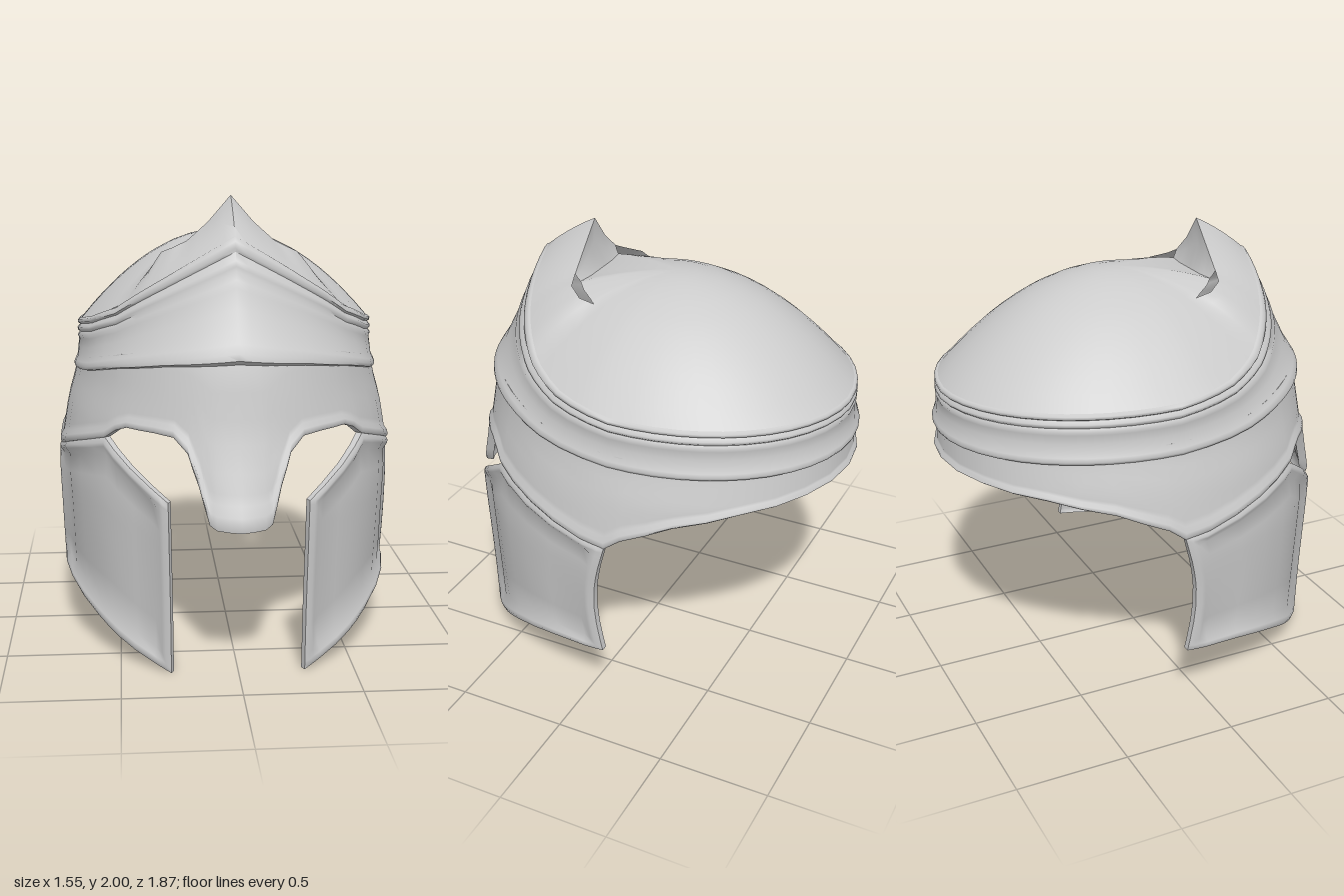
import * as THREE from 'three';
import { toCreasedNormals } from 'three/addons/utils/BufferGeometryUtils.js';

const mat = new THREE.MeshStandardMaterial({ color: 0xcccccc, side: THREE.DoubleSide });
const lerp = THREE.MathUtils.lerp;

// Linear lookup in rows of [key, ...values]
function at(table, key) {
  let i = 1;
  while (i < table.length - 1 && table[i][0] < key) i++;
  const p = table[i - 1], q = table[i];
  const t = THREE.MathUtils.clamp((key - p[0]) / (q[0] - p[0]), 0, 1);
  return p.slice(1).map((v, k) => lerp(v, q[k + 1], t));
}

const subdivide = (keys, n) => keys.flatMap((k, i) =>
  i === keys.length - 1 ? [k] : Array.from({ length: n }, (_, j) => lerp(k, keys[i + 1], j / n)));
const mirrored = (keys) => [...keys.slice(1).reverse().map((k) => -k), ...keys];

// Point on the egg-shaped plan: angle 0 is the front, PI the back
function ring(a, y, W, F, B, off = 0) {
  const c = Math.cos(a);
  return new THREE.Vector3((W + off) * Math.sin(a), y, -0.1 + c * ((c > 0 ? F : B) + off));
}

// Collects quads and turns them into a smooth mesh with sharp creases
function quadMesh(name, quads, crease) {
  const pos = [];
  for (const [a, b, c, d] of quads) {
    for (const tri of [[a, b, c], [a, c, d]]) {
      const [p, q, r] = tri;
      const area = q.clone().sub(p).cross(r.clone().sub(p)).length();
      if (area > 1e-8) tri.forEach((v) => pos.push(v.x, v.y, v.z));
    }
  }
  const geo = new THREE.BufferGeometry();
  geo.setAttribute('position', new THREE.Float32BufferAttribute(pos, 3));
  const mesh = new THREE.Mesh(toCreasedNormals(geo, crease), mat);
  mesh.name = name;
  return mesh;
}

function gridQuads(g) {
  const quads = [];
  for (let i = 0; i < g.length - 1; i++)
    for (let j = 0; j < g[i].length - 1; j++)
      quads.push([g[i][j], g[i][j + 1], g[i + 1][j + 1], g[i + 1][j]]);
  return quads;
}

// Plate with thickness t, point(u, v, offset), rims closed
function plate(name, point, us, vs, t, closed) {
  const o = us.map((u) => vs.map((v) => point(u, v, 0)));
  const n = us.map((u) => vs.map((v) => point(u, v, -t)));
  const quads = [...gridQuads(o), ...gridQuads(n).map((q) => q.reverse())];
  const I = us.length - 1, J = vs.length - 1;
  for (let i = 0; i < I; i++) {
    quads.push([o[i][0], o[i + 1][0], n[i + 1][0], n[i][0]]);
    quads.push([n[i][J], n[i + 1][J], o[i + 1][J], o[i][J]]);
  }
  if (!closed) for (let j = 0; j < J; j++) {
    quads.push([n[0][j], n[0][j + 1], o[0][j + 1], o[0][j]]);
    quads.push([o[I][j], o[I][j + 1], n[I][j + 1], n[I][j]]);
  }
  return quadMesh(name, quads, 0.9);
}

// Lower and upper edge of the brow band by angle
const bandLow = [[0, 1.36], [0.45, 1.33], [0.8, 1.29], [1.2, 1.23], [1.57, 1.205], [Math.PI, 1.185]];
const bandTop = [[0, 1.84], [0.23, 1.75], [0.46, 1.66], [0.84, 1.52], [1.15, 1.46], [1.57, 1.42], [Math.PI, 1.39]];
// Shell size by height: y, half width, front depth, back depth
const shellSize = [[0, 0.74, 0.9, 0.8], [0.27, 0.745, 0.91, 0.8], [0.76, 0.765, 0.94, 0.8], [0.9, 0.757, 0.93, 0.81],
  [1.06, 0.73, 0.9, 0.825], [1.2, 0.69, 0.88, 0.81], [1.36, 0.67, 0.85, 0.79], [1.45, 0.65, 0.81, 0.78]];
// Lower outline of the shell: nose guard, eye arch, cheek hinge, neck rim
const shellLow = [[0, 0.665], [0.13, 0.672], [0.17, 0.69], [0.225, 0.84], [0.29, 0.97], [0.375, 1.03], [0.49, 1.04],
  [0.68, 1.045], [0.76, 1.025], [0.84, 0.985], [1.15, 0.92], [1.46, 0.85], [1.59, 0.835], [1.68, 0.89], [1.95, 0.98],
  [2.3, 1.035], [2.7, 1.055], [Math.PI, 1.06]];

function shellPoint(s, y, off) {
  const a = Math.abs(s);
  const p = ring(s, y, ...at(shellSize, y), off);
  const drop = THREE.MathUtils.clamp((1.05 - y) / 0.38, 0, 1);
  p.z += 0.09 * Math.pow(drop, 1.5) * Math.exp(-((a / 0.28) ** 2));
  return p;
}

function makeShell() {
  const point = (s, v, off) => {
    const a = Math.abs(s);
    const y = lerp(at(bandLow, a)[0] + 0.05, at(shellLow, a)[0], v);
    const bead = at([[0, 0], [0.86, 0], [0.92, 0.012], [0.97, 0.012], [1, 0.004]], v)[0];
    return shellPoint(s, y, off + bead);
  };
  const cols = mirrored(subdivide(shellLow.map((r) => r[0]), 2));
  return plate('faceAndNeckShell', point, cols, [0, 0.12, 0.25, 0.4, 0.55, 0.7, 0.8, 0.86, 0.92, 0.97, 1], 0.035, true);
}

// Cheek guard: bordered panel hanging below the eye corner
function makeCheek(side) {
  const top = [[0.395, 0.76], [0.84, 0.985], [1.15, 0.92], [1.46, 0.85], [1.59, 0.84]];
  const low = [[0.395, 0], [0.68, 0.08], [0.98, 0.18], [1.23, 0.24], [1.56, 0.27]];
  const point = (u, v, off) => {
    const w = Math.abs(u);
    const aTop = lerp(0.395, 1.59, w), aLow = lerp(0.395, 1.56, w);
    const a = lerp(aTop, aLow, v) - 0.05 * w * Math.sin(Math.PI * v);
    const y = lerp(at(top, aTop)[0], at(low, aLow)[0], v);
    const edge = Math.min(w, 1 - w, v, 1 - v);
    const border = at([[0, 0.004], [0.025, 0.012], [0.045, 0.008], [0.09, -0.012], [0.5, -0.006]], edge)[0];
    return shellPoint(side * a, y, off + border);
  };
  const stops = [0, 0.025, 0.045, 0.09, 0.2, 0.3, 0.372, 0.45, 0.6, 0.75, 0.91, 0.955, 0.975, 1];
  const us = side > 0 ? stops : stops.map((u) => -u).reverse();
  return plate(side > 0 ? 'leftCheekGuard' : 'rightCheekGuard', point, us, stops, 0.03, false);
}

// Brow band: rolled lower ridge, smooth forehead, three stepped ridges on top
function makeBand() {
  const profile = [[1.02, -0.03], [1, 0.006], [0.96, 0.014], [0.9, 0.012], [0.87, 0], [0.8, 0.012], [0.75, 0.01],
    [0.71, 0], [0.64, 0.008], [0.57, 0], [0.4, 0], [0.22, 0], [0.12, 0.008], [0.04, 0.012], [-0.02, 0.004], [-0.06, -0.03]];
  const cols = mirrored(subdivide([0, 0.23, 0.46, 0.65, 0.84, 1.15, 1.57, 1.95, 2.3, 2.7, Math.PI], 3));
  const g = cols.map((s) => profile.map(([v, off]) => {
    const a = Math.abs(s);
    const y = lerp(at(bandLow, a)[0], at(bandTop, a)[0], v);
    return ring(s, y, lerp(0.69, 0.665, v), lerp(0.87, 0.65, v), lerp(0.83, 0.805, v), off);
  }));
  return quadMesh('browBand', gridQuads(g), 1.1);
}

// Crest edge and the foot of its rear wall: angle, x, y, z
const crestEdge = [[0, 0, 2, 0.31], [0.2, 0.1, 1.885, 0.315], [0.38, 0.19, 1.805, 0.31], [0.5, 0.25, 1.775, 0.295],
  [0.65, 0.3, 1.75, 0.23], [0.8, 0.285, 1.728, 0.17]];
const crestFoot = [[0, 0, 1.77, 0.28], [0.2, 0.1, 1.77, 0.28], [0.38, 0.18, 1.77, 0.29], [0.5, 0.225, 1.755, 0.25],
  [0.65, 0.262, 1.74, 0.2], [0.8, 0.285, 1.728, 0.17]];

// Dome with a peaked crest at the front and a small vent on each side of it
function makeDome() {
  const R = 0.593, crown = new THREE.Vector3(0, 1.83, -0.1);
  const cols = mirrored(subdivide([0, 0.2, 0.38, 0.5, 0.65, 0.8, 1.15, 1.57, 1.95, 2.3, 2.7, Math.PI], 3));
  const inner = [], outer = [], wall = [];
  for (const s of cols) {
    const a = Math.abs(s), sx = Math.sign(s);
    const top = at(bandTop, a)[0];
    const rim = ring(s, top, 0.665, 0.65, 0.805);
    let edge, foot;
    if (a < 0.8) {
      [edge, foot] = [crestEdge, crestFoot].map((t) => {
        const [x, y, z] = at(t, a);
        return new THREE.Vector3(sx * x, y, z);
      });
    } else {
      edge = crown.clone().lerp(rim, R);
      edge.y = 1.83 - (1.83 - top) * R * R;
      foot = edge;
    }
    inner.push([0, 0.2, 0.4, 0.6, 0.8, 0.9, 1].map((q) => {
      const p = crown.clone().lerp(foot, q);
      p.y = 1.83 - (1.83 - foot.y) * q * q;
      return p;
    }));
    outer.push([0, 0.2, 0.4, 0.6, 0.8, 1].map((q) => {
      const p = edge.clone().lerp(rim, q), r = lerp(R, 1, q);
      p.y = lerp(edge.y, rim.y, (r * r - R * R) / (1 - R * R));
      return p;
    }));
    if (a < 0.39) {
      const mid = foot.clone().lerp(edge, 0.5);
      mid.z += 0.025 * (1 - a / 0.4);
      wall.push([foot, mid, edge]);
    }
  }
  return quadMesh('domeAndCrest', [inner, outer, wall].flatMap(gridQuads), 1.0);
}

export function createModel() {
  const group = new THREE.Group();
  group.name = 'helmet';
  group.add(makeDome(), makeBand(), makeShell(), makeCheek(1), makeCheek(-1));
  return group;
}
